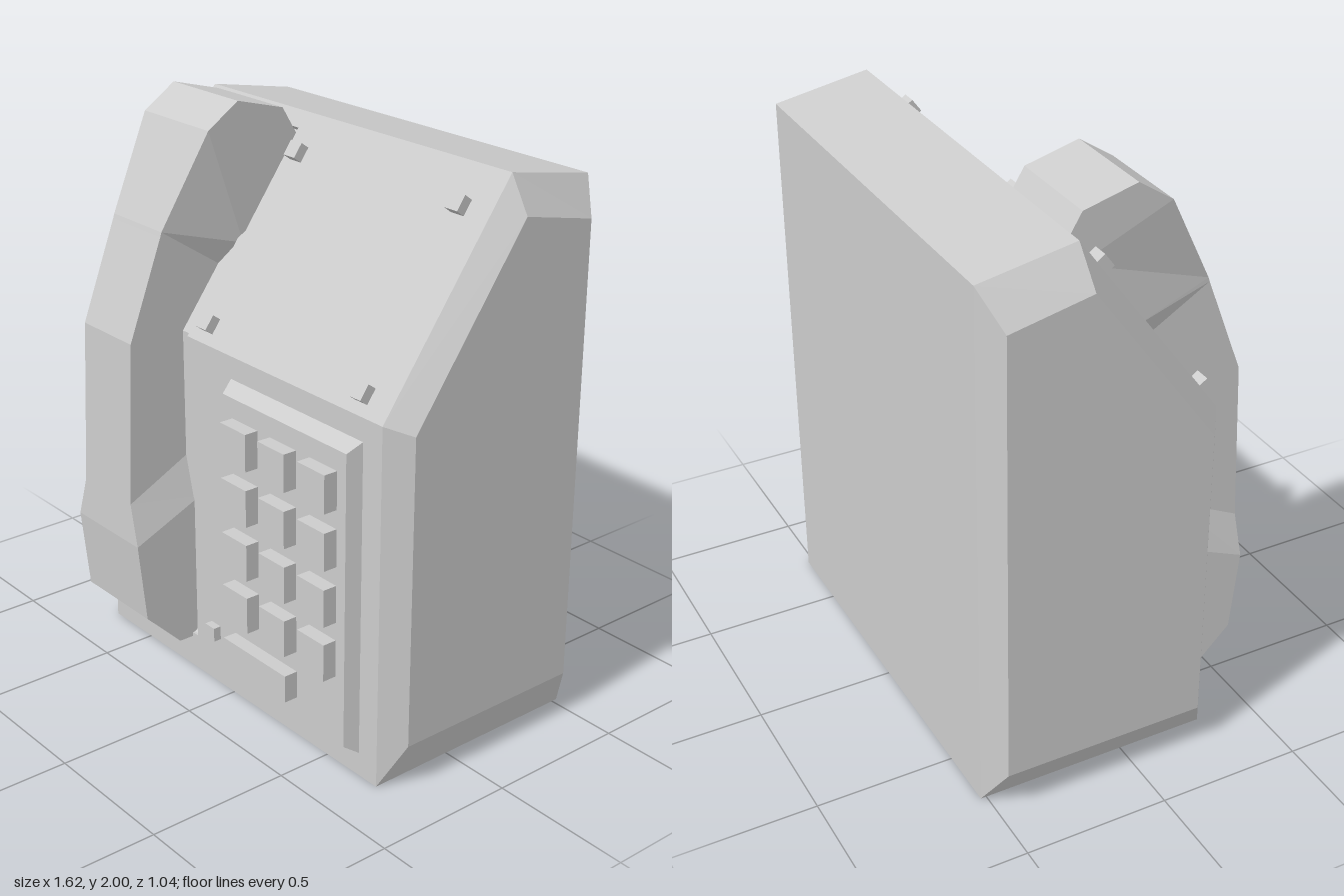
import * as THREE from 'three';

const grey = () => new THREE.MeshStandardMaterial({ color: 0xcccccc, flatShading: true });

function part(name, geometry) {
  const mesh = new THREE.Mesh(geometry, grey());
  mesh.name = name;
  return mesh;
}

// Skin a row of matching convex cross-sections, cap both ends, leave skipped strips open
function loft(name, sections, skip = () => false) {
  const pos = [];
  const n = sections[0].length;
  const tri = (...pts) => pts.forEach((p) => pos.push(...p));
  for (let i = 0; i < sections.length - 1; i++) {
    for (let j = 0; j < n; j++) {
      if (skip(i, j)) continue;
      const k = (j + 1) % n;
      const [a, b, c, d] = [sections[i][j], sections[i + 1][j], sections[i + 1][k], sections[i][k]];
      tri(a, b, c);
      tri(a, c, d);
    }
  }
  const first = sections[0], last = sections[sections.length - 1];
  for (let j = 1; j < n - 1; j++) {
    tri(first[0], first[j], first[j + 1]);
    tri(last[0], last[j + 1], last[j]);
  }
  const geo = new THREE.BufferGeometry();
  geo.setAttribute('position', new THREE.Float32BufferAttribute(pos, 3));
  geo.computeVertexNormals();
  return part(name, geo);
}

function box(name, w, h, d, x, y, z) {
  const mesh = part(name, new THREE.BoxGeometry(w, h, d));
  mesh.position.set(x, y, z);
  return mesh;
}

// Depth of the housing face at a given height: upright below, sloping above
const BEND = 1.25;
const faceZ = (y) => 0.305 - Math.max(0, y - BEND) * 0.728;

// Flat panel drawn in (x, y) and laid onto the housing face
function panel(name, points) {
  const geo = new THREE.ShapeGeometry(new THREE.Shape(points.map(([x, y]) => new THREE.Vector2(x, y))));
  const p = geo.attributes.position;
  for (let i = 0; i < p.count; i++) p.setZ(i, faceZ(p.getY(i)));
  geo.computeVertexNormals();
  return part(name, geo);
}

// Four-cornered section from a front point and a back point: [z, y, halfWidth]
const CX = -0.415;
const bar = ([f, b]) => [
  [CX - f[2], f[1], f[0]], [CX + f[2], f[1], f[0]],
  [CX + b[2], b[1], b[0]], [CX - b[2], b[1], b[0]],
];

export function createModel() {
  const model = new THREE.Group();
  model.name = 'payphone';

  // Housing shell: wedge profile (z, y), smaller at the sides, open where the front panels go
  const middle = [[0.305, 0], [0.305, BEND], [faceZ(1.93), 1.93], [-0.52, 1.87], [-0.52, 0]];
  const side = [[0.235, 0.155], [0.235, 1.22], [-0.19, 1.81], [-0.47, 1.75], [-0.47, 0.155]];
  const at = (x, profile) => profile.map(([z, y]) => [x, y, z]);
  model.add(loft('housing',
    [at(-0.815, side), at(-0.715, middle), at(0.74, middle), at(0.81, side)],
    (i, j) => i === 1 && j < 2));

  // Handset recess, top to bottom: [y, halfWidth, depth]
  const recess = [
    [1.88, 0.205, 0.03], [1.57, 0.205, 0.03], [1.545, 0.187, 0.02], [BEND, 0.187, 0.02],
    [0.79, 0.187, 0.02], [0.65, 0.205, 0.02], [0.44, 0.205, 0.06], [0.17, 0.205, 0.06], [0.13, 0.205, 0.01],
  ];
  const recessSections = recess.map(([y, h, depth]) => {
    const [dz, dy] = y > BEND ? [0.81, 0.59] : [1, 0];
    return bar([[faceZ(y), y, h], [faceZ(y) - dz * depth, y - dy * depth, h]]);
  });
  // Lofted upwards so that its walls face inwards
  model.add(loft('handsetRecess', recessSections.reverse(), (i, j) => j === 0));

  // Front panels, notched round the recess
  const edge = (sign, rows) => rows.map(([y, h]) => [CX + sign * h, y]);
  const upper = recess.filter(([y]) => y >= BEND);
  const lower = recess.filter(([y]) => y <= BEND);
  model.add(panel('lowerPanel', [
    [-0.715, 0], [0.74, 0], [0.74, BEND],
    ...edge(1, lower), ...edge(-1, lower).reverse(), [-0.715, BEND],
  ]));
  model.add(panel('slopingPanel', [
    [-0.715, BEND], ...edge(-1, upper).reverse(), ...edge(1, upper),
    [0.74, BEND], [0.74, 1.93], [-0.715, 1.93],
  ]));

  // Handset: bulky ends with a narrower grip between
  const handset = [
    [[-0.11, 1.95, 0.176], [-0.17, 1.85, 0.176]],
    [[0.075, 2.0, 0.176], [-0.16, 1.83, 0.176]],
    [[0.195, 1.92, 0.176], [-0.12, 1.78, 0.176]],
    [[0.36, 1.605, 0.135], [0.06, 1.52, 0.176]],
    [[0.365, 1.59, 0.135], [0.1, 1.43, 0.135]],
    [[0.495, 1.25, 0.135], [0.28, 1.24, 0.135]],
    [[0.52, 0.68, 0.135], [0.28, 0.8, 0.135]],
    [[0.525, 0.535, 0.176], [0.26, 0.65, 0.176]],
    [[0.495, 0.25, 0.176], [0.245, 0.25, 0.176]],
    [[0.36, 0.115, 0.176], [0.245, 0.115, 0.176]],
  ];
  model.add(loft('handset', handset.map(bar)));

  // Studs on the sloping panel
  const slope = Math.atan(0.728);
  for (const x of [-0.668, -0.148, 0.617]) {
    for (const y of [1.31, 1.82]) {
      const stud = box('panelStud', 0.055, 0.055, 0.05, x, y, faceZ(y) + 0.012);
      stud.rotation.x = -slope;
      model.add(stud);
    }
  }
  model.add(box('frontStud', 0.05, 0.05, 0.05, -0.1, 0.2, 0.308));

  // Keypad plate with bevelled rim
  const plate = (x0, x1, y0, y1, z) => [[x0, y0, z], [x0, y1, z], [x1, y1, z], [x1, y0, z]];
  model.add(loft('keypadPlate', [
    plate(0.005, 0.657, 0.08, 1.175, 0.3),
    plate(0.028, 0.637, 0.117, 1.14, 0.355),
  ]));

  // Keys: four rows of three and a wide one below
  for (const y of [1.005, 0.81, 0.615, 0.422]) {
    for (const x of [0.142, 0.335, 0.53]) {
      model.add(box('key', 0.13, 0.13, 0.06, x, y, 0.375));
    }
  }
  model.add(box('wideKey', 0.325, 0.097, 0.06, 0.24, 0.237, 0.375));

  return model;
}
